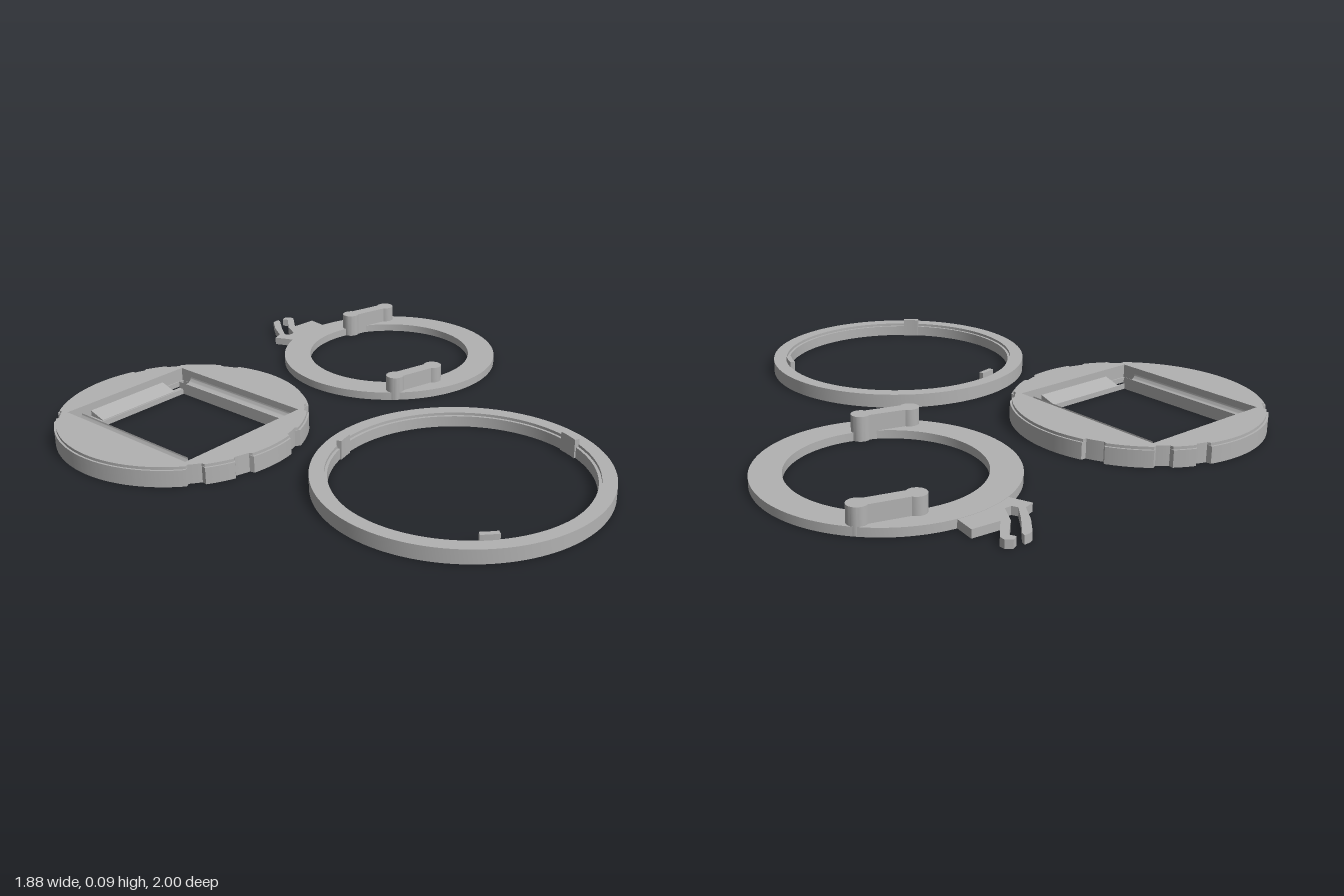
import * as THREE from 'three';
import { toCreasedNormals } from 'three/addons/utils/BufferGeometryUtils.js';

const grey = new THREE.MeshStandardMaterial({ color: 0xb2b2b2 });
grey.name = 'grey plastic';

// Plan outlines use [x, z]; the shape is raised from y0 to y1.
const vec = ([x, z]) => new THREE.Vector2(x, -z);
const rect = (x0, x1, z0, z1) => [[x0, z0], [x1, z0], [x1, z1], [x0, z1]];

function circle(cx, cz, radius, n = 120) {
  const r = typeof radius === 'function' ? radius : () => radius;
  return Array.from({ length: n }, (_, i) => {
    const a = (i / n) * Math.PI * 2;
    return [cx + r(a) * Math.cos(a), cz - r(a) * Math.sin(a)];
  });
}

function slab(name, outline, y0, y1, holes = []) {
  const shape = new THREE.Shape(outline.map(vec));
  shape.holes = holes.map((h) => new THREE.Path(h.map(vec)));
  const geo = new THREE.ExtrudeGeometry(shape, { depth: y1 - y0, bevelEnabled: false });
  geo.rotateX(-Math.PI / 2).translate(0, y0, 0);
  const mesh = new THREE.Mesh(toCreasedNormals(geo, 0.35), grey);
  mesh.name = name;
  return mesh;
}

function named(name, ...children) {
  const group = new THREE.Group();
  group.name = name;
  group.add(...children);
  return group;
}

// Plain ring with a small inner step and three locking tabs
function buildOuterRing() {
  const cx = -0.2, cz = 0.5;
  const profile = [[0.44, 0], [0.5, 0], [0.5, 0.05], [0.45, 0.05], [0.45, 0.04], [0.44, 0.04], [0.44, 0]]
    .map(([x, y]) => new THREE.Vector2(x, y));
  const band = new THREE.Mesh(toCreasedNormals(new THREE.LatheGeometry(profile, 120), 0.35), grey);
  band.name = 'ringBand';
  band.position.set(cx, 0, cz);
  const ring = named('outerRing', band);
  for (const [deg, half] of [[102, 4], [-21, 5], [-134, 4]]) {
    const pts = [];
    for (let i = 0; i <= 6; i++) pts.push([0.452, deg - half + (i * half) / 3]);
    for (let i = 6; i >= 0; i--) pts.push([0.434, deg - half + (i * half) / 3]);
    const outline = pts.map(([r, d]) => {
      const a = THREE.MathUtils.degToRad(d);
      return [cx + r * Math.cos(a), cz - r * Math.sin(a)];
    });
    ring.add(slab('lockingTab', outline, 0, 0.07));
  }
  return ring;
}

// Notched disc with a sunken rectangular frame
function buildDisc() {
  const cx = -0.49, cz = -0.52;
  const notches = [[20, 28], [50, 56], [68, 73], [130, 137], [229, 236], [251, 258], [283, 290], [310, 317]];
  const radius = (r) => (a) => {
    const d = THREE.MathUtils.radToDeg(a);
    return notches.some(([p, q]) => d >= p && d <= q) ? 0.433 : r;
  };
  const rim = circle(cx, cz, radius(0.45), 360);
  const cap = circle(cx, cz, radius(0.443), 360);
  const pocket = rect(-0.76, -0.22, -0.83, -0.21);
  const window_ = rect(-0.7, -0.28, -0.76, -0.27);
  const slots = [rect(-0.32, -0.221, -0.825, -0.78), rect(-0.759, -0.66, -0.265, -0.215)];
  const disc = named('notchedDisc',
    slab('discFloor', rim, 0, 0.02, [window_, ...slots]),
    slab('discBody', rim, 0.02, 0.06, [pocket]),
    slab('discTop', cap, 0.06, 0.07, [pocket]));

  // Rounded channels along both long sides
  for (const [x, z0, z1] of [[-0.73, -0.83, -0.265], [-0.25, -0.78, -0.21]]) {
    const s = new THREE.Shape();
    s.moveTo(-0.03, 0.015);
    s.lineTo(0.03, 0.015);
    s.lineTo(0.03, 0.045);
    s.absellipse(0, 0.045, 0.03, 0.022, 0, Math.PI, true);
    const geo = new THREE.ExtrudeGeometry(s, { depth: z1 - z0, bevelEnabled: false, curveSegments: 16 });
    const channel = new THREE.Mesh(toCreasedNormals(geo, 0.35), grey);
    channel.name = 'sideChannel';
    channel.position.set(x, 0, z0);
    disc.add(channel);
  }

  // Sloping ledges at both short ends, stopping short of the slots
  for (const side of [-1, 1]) {
    const s = new THREE.Shape([[0, 0.015], [0.065, 0.015], [0.065, 0.022], [0, 0.042]]
      .map(([x, y]) => new THREE.Vector2(x, y)));
    const geo = new THREE.ExtrudeGeometry(s, { depth: 0.34, bevelEnabled: false });
    const ledge = new THREE.Mesh(geo, grey);
    ledge.name = 'endLedge';
    ledge.rotation.y = side * Math.PI / 2;
    ledge.position.set(side < 0 ? -0.32 : -0.66, 0, side < 0 ? -0.83 : -0.21);
    disc.add(ledge);
  }
  return disc;
}

// Dog-bone outline: round ends joined by a slimmer waist
function dogBone([ax, az], [bx, bz], r, waist) {
  const length = Math.hypot(bx - ax, bz - az);
  const dir = Math.atan2(bz - az, bx - ax);
  const pts = [];
  const open = Math.asin(waist / r);
  for (const [at, from] of [[length, -Math.PI + open], [0, open]]) {
    for (let i = 0; i <= 20; i++) {
      const a = from + (i / 20) * (2 * Math.PI - 2 * open);
      pts.push([at + r * Math.cos(a), r * Math.sin(a)]);
    }
  }
  return pts.map(([u, v]) => [
    ax + u * Math.cos(dir) - v * Math.sin(dir),
    az + u * Math.sin(dir) + v * Math.cos(dir)]);
}

// Flat ring with two raised grips and a forked lever
function buildLeverRing() {
  const cx = 0.51, cz = -0.38;
  const lever = [[0.36, -0.78], [0.33, -0.857], [0.368, -0.868], [0.41, -0.935], [0.46, -0.995], [0.475, -1],
    [0.495, -1], [0.49, -0.985], [0.43, -0.915], [0.385, -0.855], [0.395, -0.835], [0.42, -0.835],
    [0.46, -0.905], [0.525, -0.97], [0.515, -0.99], [0.535, -1], [0.555, -0.985], [0.555, -0.965],
    [0.5, -0.905], [0.485, -0.89], [0.585, -0.88], [0.57, -0.78]];
  return named('leverRing',
    slab('flatRing', circle(cx, cz, 0.43), 0, 0.03, [circle(cx, cz, 0.325)]),
    slab('forkedLever', lever, 0, 0.029),
    slab('backGrip', dogBone([0.632, -0.693], [0.806, -0.644], 0.034, 0.024), 0.001, 0.09),
    slab('frontGrip', dogBone([0.214, -0.112], [0.385, -0.064], 0.034, 0.024), 0.001, 0.09));
}

export function createModel() {
  return named('ringMechanism', buildOuterRing(), buildDisc(), buildLeverRing());
}
